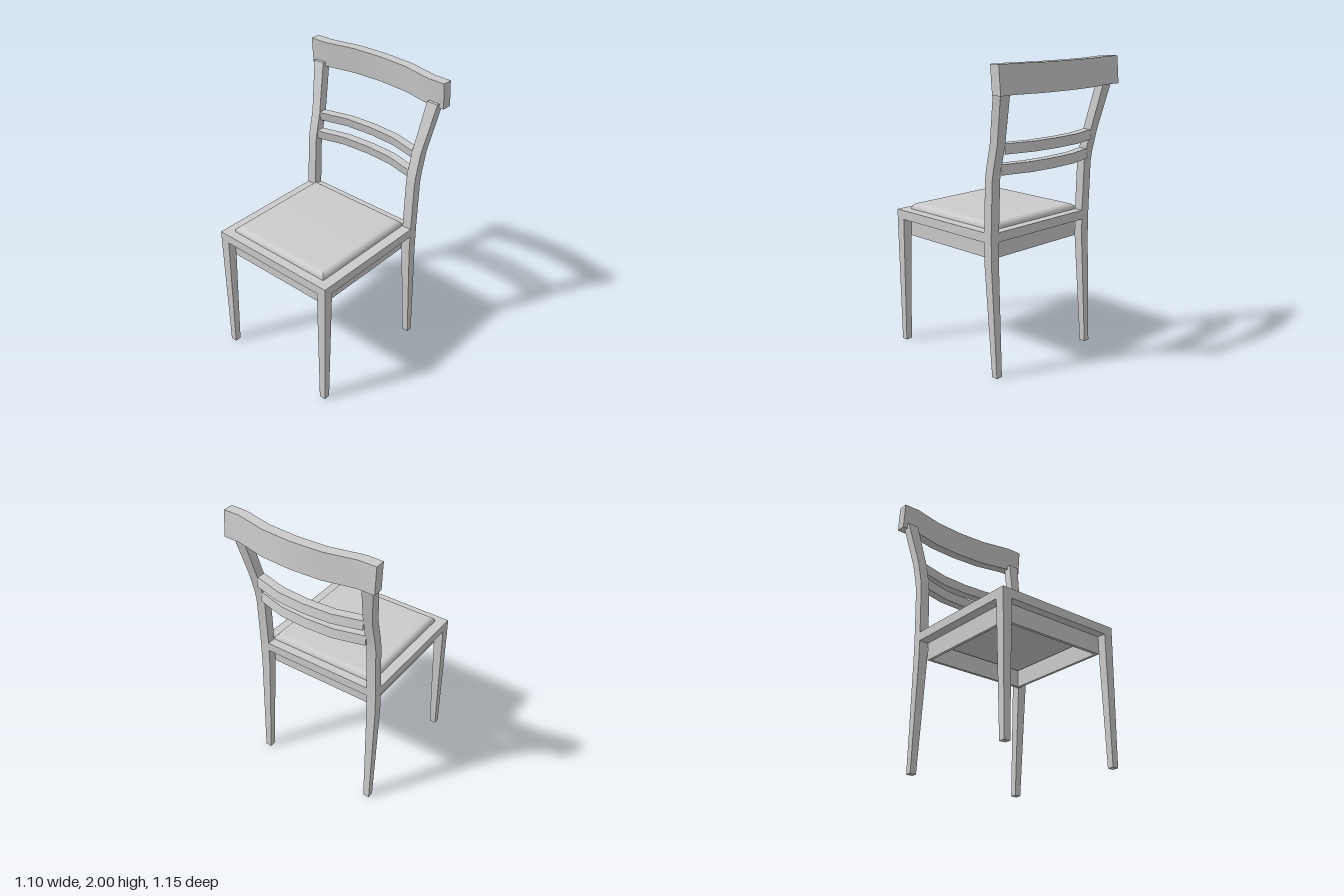
import * as THREE from 'three';
import { toCreasedNormals } from 'three/addons/utils/BufferGeometryUtils.js';

const material = new THREE.MeshStandardMaterial({ color: 0xcccccc });

function addMesh(parent, geometry, name) {
  const mesh = new THREE.Mesh(toCreasedNormals(geometry, 0.5), material);
  mesh.name = name;
  parent.add(mesh);
}

// Closed solid through rectangular sections [y, x0, x1, z0, z1], bottom to top
function loft(sections) {
  const pos = [], index = [];
  for (const [y, x0, x1, z0, z1] of sections) {
    pos.push(x0, y, z1, x1, y, z1, x1, y, z0, x0, y, z0);
  }
  for (let s = 0; s < sections.length - 1; s++) {
    for (let i = 0; i < 4; i++) {
      const a = s * 4 + i, b = s * 4 + (i + 1) % 4;
      index.push(a, b, b + 4, a, b + 4, a + 4);
    }
  }
  const t = (sections.length - 1) * 4;
  index.push(0, 2, 1, 0, 3, 2, t, t + 1, t + 2, t, t + 2, t + 3);
  const g = new THREE.BufferGeometry();
  g.setAttribute('position', new THREE.Float32BufferAttribute(pos, 3));
  g.setIndex(index);
  return g;
}

// Plan outline of (x, z) points extruded upward from y0 to y1
function slab(points, y0, y1, hole) {
  const toShape = (p) => p.map(([x, z]) => new THREE.Vector2(x, z));
  const shape = new THREE.Shape(toShape(points));
  if (hole) shape.holes.push(new THREE.Path(toShape(hole)));
  const g = new THREE.ExtrudeGeometry(shape, { depth: y1 - y0, bevelEnabled: false });
  return g.rotateX(Math.PI / 2).translate(0, y1, 0);
}

const rect = (x, z0, z1) => [[-x, z0], [x, z0], [x, z1], [-x, z1]];

// Bowed rail leaning back with height; half lists [x, front z] from the middle outward
function bowedRail(half, depth, y0, y1, lean) {
  const front = [...half.slice(1).reverse().map(([x, z]) => [-x, z]), ...half];
  const back = front.map(([x, z]) => [x, z - depth]).reverse();
  const g = slab([...front, ...back], y0, y1);
  const p = g.attributes.position;
  for (let i = 0; i < p.count; i++) {
    p.setZ(i, p.getZ(i) - lean * (p.getY(i) - y1) / (y1 - y0) * -1);
  }
  return g;
}

export function createModel() {
  const chair = new THREE.Group();
  chair.name = 'chair';

  // Tapered front legs and bent back posts, mirrored left to right
  const legProfile = [[0, 0.413, 0.458, 0.517, 0.56], [0.89, 0.4, 0.468, 0.5, 0.565]];
  const postProfile = [
    [0, 0.413, 0.458, -0.397, -0.354],
    [0.76, 0.402, 0.468, -0.36, -0.298],
    [0.95, 0.4, 0.468, -0.36, -0.298],
    [1.29, 0.4, 0.468, -0.37, -0.308],
    [1.36, 0.4, 0.468, -0.381, -0.318],
    [1.51, 0.402, 0.47, -0.416, -0.352],
    [1.85, 0.437, 0.517, -0.494, -0.43],
  ];
  for (const [side, prefix] of [[1, 'left'], [-1, 'right']]) {
    const mirror = (list) => list.map(([y, a, b, z0, z1]) =>
      side > 0 ? [y, a, b, z0, z1] : [y, -b, -a, z0, z1]);
    addMesh(chair, loft(mirror(legProfile)), prefix + 'FrontLeg');
    addMesh(chair, loft(mirror(postProfile)), prefix + 'BackPost');
  }

  // Seat frame, notched at the back for the posts
  const outline = [[-0.468, 0.565], [0.468, 0.565], [0.468, -0.3], [0.4, -0.3],
    [0.4, -0.36], [-0.4, -0.36], [-0.4, -0.3], [-0.468, -0.3]];
  addMesh(chair, slab(outline, 0.89, 0.953, rect(0.396, -0.296, 0.5)), 'seatFrame');

  // Thin apron under the frame
  addMesh(chair, slab(rect(0.4, -0.297, 0.505), 0.765, 0.89, rect(0.38, -0.277, 0.485)), 'apron');

  // Upholstered seat with a rounded upper edge and a slight crown
  const cushion = [[0.9, -0.397, 0.397, -0.299, 0.502]];
  const steps = 6;
  for (let i = 0; i <= steps; i++) {
    const a = i / steps * Math.PI / 2;
    const inset = 0.042 * (1 - Math.cos(a));
    cushion.push([0.955 + 0.04 * Math.sin(a), -0.397 + inset, 0.397 - inset, -0.299 + inset, 0.502 - inset]);
  }
  cushion.push([0.999, -0.28, 0.28, -0.18, 0.38]);
  addMesh(chair, loft(cushion), 'seatCushion');

  // Two bowed slats
  const slatCurve = (z) => [[0, z], [0.2, z + 0.012], [0.405, z + 0.066]];
  addMesh(chair, bowedRail(slatCurve(-0.386), 0.062, 1.32, 1.384, 0.012), 'lowerSlat');
  addMesh(chair, bowedRail(slatCurve(-0.416), 0.062, 1.453, 1.516, 0.012), 'upperSlat');

  // Crest rail with straight ends
  const crest = [[0, -0.498], [0.215, -0.486], [0.43, -0.438], [0.548, -0.438]];
  addMesh(chair, bowedRail(crest, 0.07, 1.82, 2, 0.016), 'crestRail');

  return chair;
}
